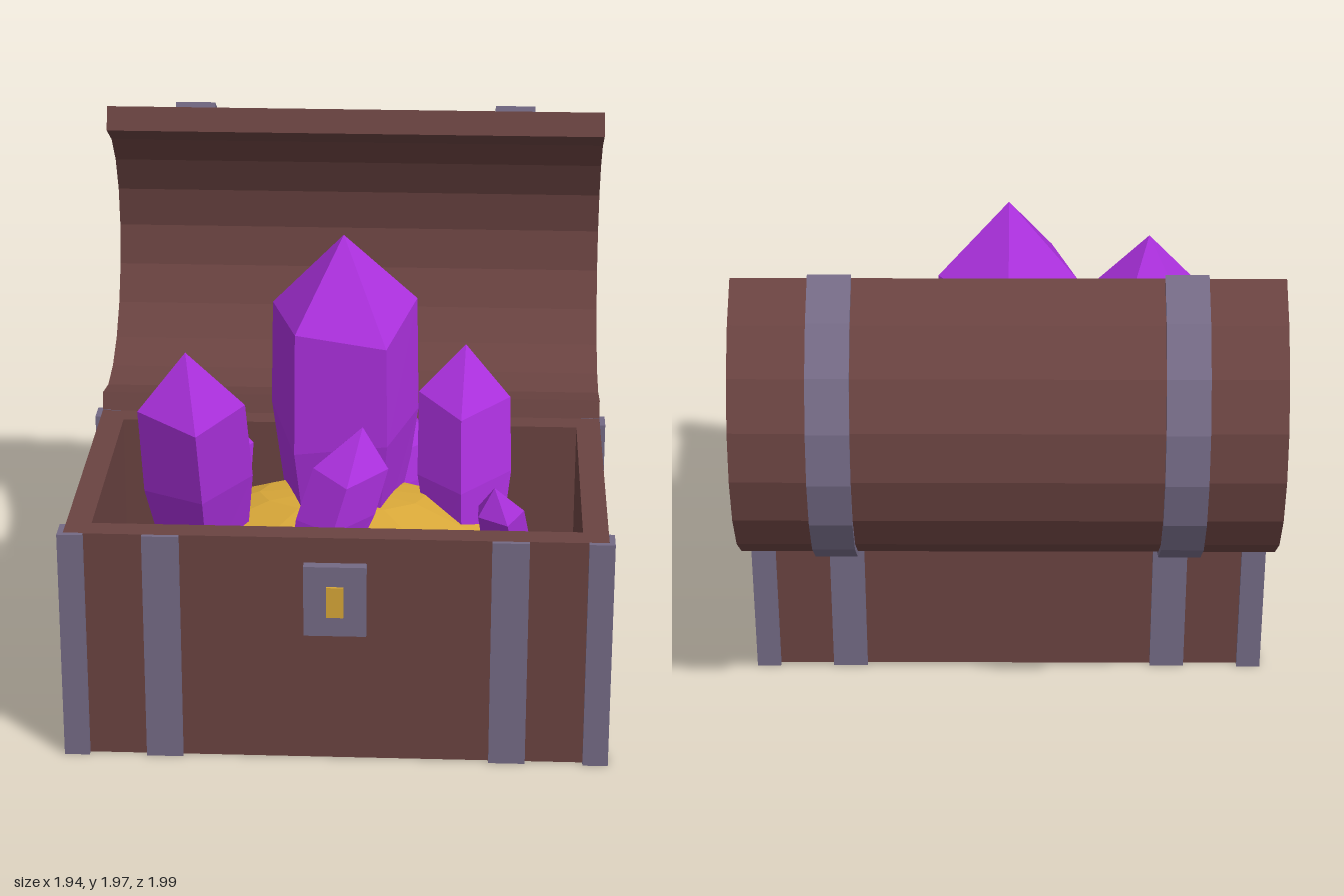
import * as THREE from 'three';

const paint = (name, color) => {
  const m = new THREE.MeshStandardMaterial({ color });
  m.name = name;
  return m;
};

export function createModel() {
  const wood = paint('brown wood', 0x6a4341);
  const iron = paint('grey iron', 0x746a85);
  const gold = paint('gold', 0xd6a638);
  const violet = paint('violet crystal', 0xaa30dc);
  const model = new THREE.Group();
  model.name = 'treasureChest';

  const add = (name, geo, mat) => {
    const mesh = new THREE.Mesh(geo, mat);
    mesh.name = name;
    model.add(mesh);
    return mesh;
  };
  // Box given by its minimum and maximum corners
  const block = (name, mat, x0, x1, y0, y1, z0, z1) => {
    const g = new THREE.BoxGeometry(x1 - x0, y1 - y0, z1 - z0);
    return add(name, g.translate((x0 + x1) / 2, (y0 + y1) / 2, (z0 + z1) / 2), mat);
  };

  // Open wooden box
  const H = 0.86;
  block('floor', wood, -0.95, 0.95, 0.002, 0.09, -0.19, 0.95);
  block('frontWall', wood, -0.95, 0.95, 0.002, H, 0.86, 0.95);
  block('backWall', wood, -0.95, 0.95, 0.002, H, -0.19, -0.1);
  block('leftWall', wood, 0.86, 0.95, 0.002, H, -0.1, 0.86);
  block('rightWall', wood, -0.95, -0.86, 0.002, H, -0.1, 0.86);

  // Iron corner angles and straps, mirrored to both sides
  for (const s of [-1, 1]) {
    const span = (a, b) => (s > 0 ? [a, b] : [-b, -a]);
    for (const [outer, inner] of [[0.97, 0.95], [-0.21, -0.19]]) {
      block('cornerPlate', iron, ...span(0.88, 0.97), 0, H + 0.002, Math.min(outer, inner), Math.max(outer, inner));
    }
    block('cornerSidePlate', iron, ...span(0.95, 0.97), 0, H + 0.002, 0.88, 0.95);
    block('cornerSidePlate', iron, ...span(0.95, 0.97), 0, H + 0.002, -0.19, -0.12);
    block('frontStrap', iron, ...span(0.545, 0.675), 0, H, 0.95, 0.967);
    block('backStrap', iron, ...span(0.545, 0.675), 0, H, -0.207, -0.19);
  }

  // Lock
  block('lockPlate', iron, -0.11, 0.11, 0.5, 0.765, 0.95, 0.987);
  block('keyhole', gold, -0.03, 0.03, 0.575, 0.69, 0.987, 0.996);

  // Open lid: a faceted half ring swept along x
  const arc = (name, mat, r0, r1, x0, x1) => {
    const pts = [];
    const N = 10;
    for (const [r, back] of [[r1, false], [r0, true]]) {
      for (let i = 0; i <= N; i++) {
        const k = back ? N - i : i;
        const a = THREE.MathUtils.degToRad(-110 + 18 * k);
        pts.push(new THREE.Vector2(0.385 + r * Math.cos(a), 1.396 + r * Math.sin(a)));
      }
    }
    const g = new THREE.ExtrudeGeometry(new THREE.Shape(pts), { depth: x1 - x0, bevelEnabled: false });
    add(name, g.rotateY(Math.PI / 2).translate(x0, 0, 0), mat);
  };
  arc('lid', wood, 0.5, 0.593, -0.95, 0.95);
  arc('lidStrapLeft', iron, 0.593, 0.613, 0.535, 0.685);
  arc('lidStrapRight', iron, 0.593, 0.613, -0.685, -0.535);

  // Heap of gold
  const heap = new THREE.SphereGeometry(1, 12, 8).scale(0.8, 0.39, 0.435).toNonIndexed();
  heap.computeVertexNormals();
  add('goldHeap', heap.translate(0, 0.42, 0.375), gold);

  // Five-sided crystal leaning from base to tip; shoulder heights vary per side
  const crystal = (name, base, tip, radius, shoulder, turn) => {
    const rows = [[0, 0.75], [0.4, 1.03], [shoulder, 1], [1, 0]];
    const sides = 5;
    const point = (row, i) => {
      const [t0, r] = rows[row];
      const k = i % sides;
      const t = t0 + (row === 1 || row === 2 ? 0.04 * Math.sin(k * 2.4 + turn + row) : 0);
      const a = turn + (k * Math.PI * 2) / sides;
      return [
        base[0] + (tip[0] - base[0]) * t + radius * r * Math.cos(a),
        base[1] + (tip[1] - base[1]) * t,
        base[2] + (tip[2] - base[2]) * t + radius * r * Math.sin(a),
      ];
    };
    const v = [];
    for (let row = 0; row < 3; row++) {
      for (let i = 0; i < sides; i++) {
        v.push(...point(row, i), ...point(row + 1, i), ...point(row, i + 1));
        if (row < 2) v.push(...point(row, i + 1), ...point(row + 1, i), ...point(row + 1, i + 1));
      }
    }
    const g = new THREE.BufferGeometry();
    g.setAttribute('position', new THREE.Float32BufferAttribute(v, 3));
    g.computeVertexNormals();
    add(name, g, violet);
  };
  crystal('mainCrystal', [0, 0.55, 0.31], [0, 1.755, 0.315], 0.275, 0.74, -0.31);
  crystal('rightCrystal', [-0.5, 0.55, 0.47], [-0.54, 1.425, 0.65], 0.2, 0.74, 0.15);
  crystal('leftCrystal', [0.45, 0.55, 0.38], [0.44, 1.305, 0.205], 0.175, 0.76, 0.4);
  crystal('frontCrystal', [-0.08, 0.6, 0.67], [0.08, 1.13, 0.59], 0.14, 0.72, 0.3);
  crystal('backRightCrystal', [-0.49, 0.6, 0.17], [-0.45, 0.99, 0.13], 0.12, 0.7, 0.2);
  crystal('backLeftCrystal', [0.22, 0.6, 0.23], [0.23, 1.04, 0.12], 0.09, 0.7, 0.6);
  crystal('frontLeftCrystal', [0.61, 0.6, 0.63], [0.55, 0.987, 0.78], 0.09, 0.7, 0);

  return model;
}
